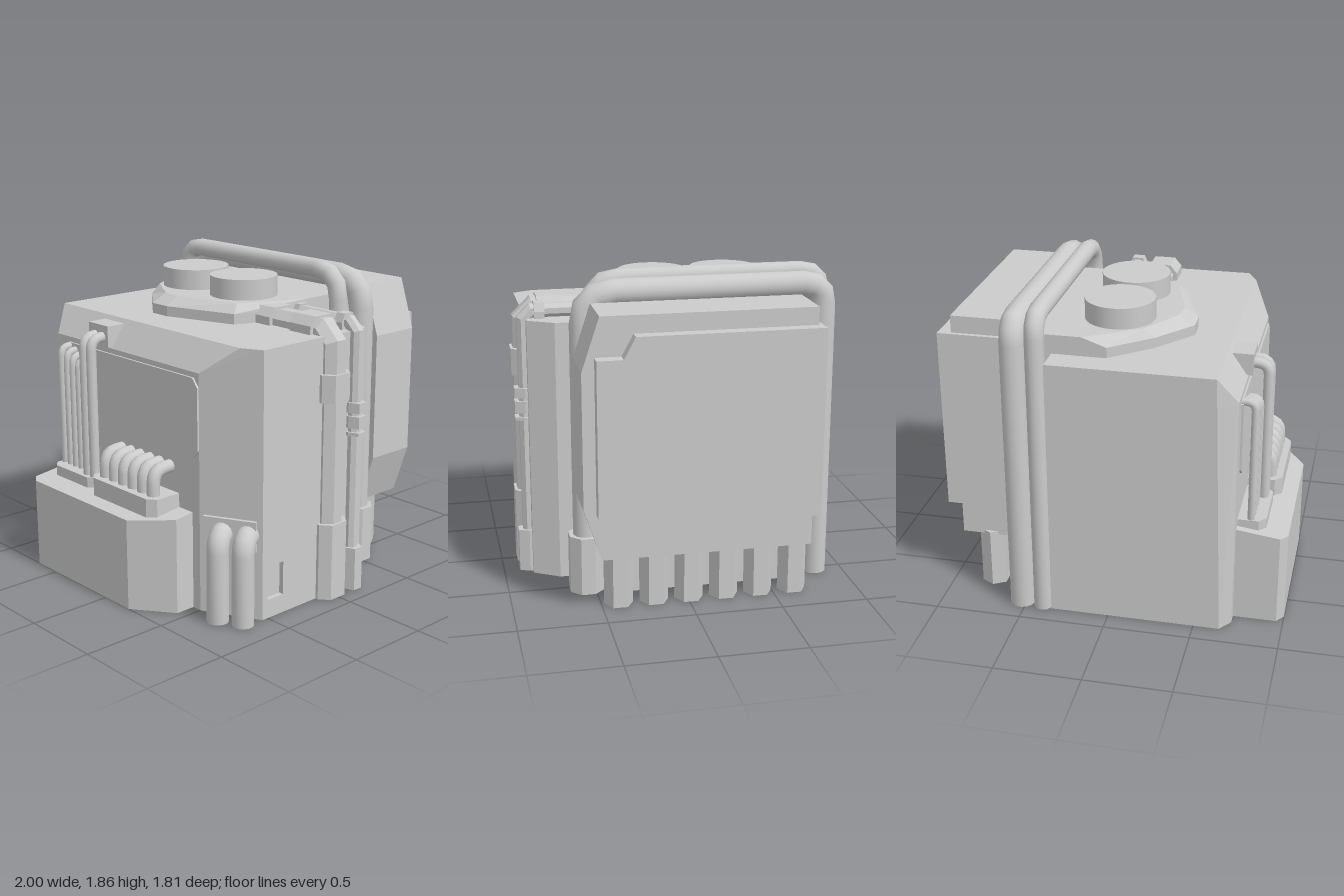
import * as THREE from 'three';

const smooth = new THREE.MeshStandardMaterial({ color: 0xcccccc, side: THREE.DoubleSide });
const flat = new THREE.MeshStandardMaterial({ color: 0xcccccc, flatShading: true });
const thin = new THREE.MeshStandardMaterial({ color: 0xcccccc, flatShading: true, side: THREE.DoubleSide });

export function createModel() {
  const root = new THREE.Group();
  const add = (name, geo, mat = flat) => {
    const m = new THREE.Mesh(geo, mat);
    m.name = name;
    root.add(m);
    return m;
  };
  const shapeOf = (pts) => new THREE.Shape(pts.map(([a, b]) => new THREE.Vector2(a, b)));
  const extrude = (shape, depth) => new THREE.ExtrudeGeometry(shape, { depth, bevelEnabled: false });
  // outlines seen from above are lists of [x, z]
  const planShape = (pts) => shapeOf(pts.map(([x, z]) => [x, -z]));
  const ring = (pts, y) => pts.map(([x, z]) => [x, y, z]);
  const prism = (name, pts, y0, y1) =>
    add(name, extrude(planShape(pts), y1 - y0).rotateX(-Math.PI / 2).translate(0, y0, 0));
  const cap = (name, pts, y) =>
    add(name, new THREE.ShapeGeometry(planShape(pts)).rotateX(-Math.PI / 2).translate(0, y, 0), thin);
  // plate from a [z, y] outline, between two x values
  const sidePlate = (name, pts, x0, x1) =>
    add(name, extrude(shapeOf(pts), x1 - x0).rotateY(-Math.PI / 2).translate(x1, 0, 0));
  // thin walls joining stacked rings of points
  const shell = (name, rings) => {
    const pos = [];
    for (let i = 0; i < rings.length - 1; i++) {
      for (let k = 0; k < rings[i].length - 1; k++) {
        const [a, b, c, d] = [rings[i][k], rings[i][k + 1], rings[i + 1][k + 1], rings[i + 1][k]];
        pos.push(...a, ...b, ...c, ...a, ...c, ...d);
      }
    }
    const g = new THREE.BufferGeometry();
    g.setAttribute('position', new THREE.Float32BufferAttribute(pos, 3));
    g.computeVertexNormals();
    return add(name, g, thin);
  };

  // open-ended pipe swept along a planar path; one bend size per corner
  const pipe = (name, path, r, bends, sides = 16, steps = 4, mat = smooth) => {
    const v = path.map((p) => new THREE.Vector3(...p));
    const pts = [v[0]];
    for (let i = 1; i < v.length - 1; i++) {
      const toward = (o) => v[i].clone().add(o.clone().sub(v[i]).setLength(bends[i - 1]));
      pts.push(...new THREE.QuadraticBezierCurve3(toward(v[i - 1]), v[i], toward(v[i + 1])).getPoints(steps));
    }
    pts.push(v[v.length - 1]);
    const n = pts.length, pos = [], idx = [];
    const dir = (i) => pts[i + 1].clone().sub(pts[i]).normalize();
    const B = v[1].clone().sub(v[0]).cross(v[2].clone().sub(v[1])).normalize();
    for (let i = 0; i < n; i++) {
      const a = dir(Math.max(i - 1, 0)), b = dir(Math.min(i, n - 2));
      const T = a.clone().add(b).normalize();
      const N = B.clone().cross(T).divideScalar(T.dot(a));
      for (let k = 0; k < sides; k++) {
        const t = ((k + 0.5) / sides) * Math.PI * 2;
        pos.push(...pts[i].clone().addScaledVector(N, r * Math.cos(t)).addScaledVector(B, r * Math.sin(t)).toArray());
      }
    }
    for (let i = 0; i < n - 1; i++) {
      for (let k = 0; k < sides; k++) {
        const a = i * sides + k, b = i * sides + ((k + 1) % sides);
        idx.push(a, b, a + sides, b, b + sides, a + sides);
      }
    }
    const g = new THREE.BufferGeometry();
    g.setAttribute('position', new THREE.Float32BufferAttribute(pos, 3));
    g.setIndex(idx);
    g.computeVertexNormals();
    return add(name, g, mat);
  };

  // main housing: open-bottomed walls, upper left edge sloping inward
  const housing = (back, left, front) => [
    [0.34, -0.72], [0.34, -0.88], back, left, front, [-0.555, 0.8], [0.268, 0.8], [0.34, 0.68], [0.34, 0.41],
  ];
  const housingTop = housing([-0.6, -0.88], [-0.6, -0.879], [-0.6, 0.71]);
  shell('housing', [
    ring(housing([-0.65, -0.88], [-0.71, -0.8], [-0.71, 0.5]), 0),
    ring(housing([-0.605, -0.88], [-0.71, -0.8], [-0.71, 0.5]), 1.39),
    ring(housingTop, 1.55),
  ]);

  // faceted core rising through the housing, also open below
  const coreEdge = [[0.18, 0.41], [-0.24, 0.27], [-0.38, -0.16], [-0.38, -0.29], [-0.2, -0.52], [0.03, -0.72]];
  const core = [[0.62, 0.41], [0.62, -0.72], ...[...coreEdge].reverse(), [0.62, 0.41]];
  const lid = [[0.62, 0.41], [0.62, -0.72], [0.17, -0.72], [-0.13, -0.53], [-0.28, -0.29], [-0.3, -0.16], [-0.19, 0.24], [0.2, 0.41], [0.62, 0.41]];
  shell('core', [ring(core, 0), ring(core, 1.61), ring(lid, 1.66)]);
  cap('coreLid', lid.slice(0, -1), 1.66);
  cap('housingRoof', [...housingTop, ...coreEdge], 1.55);
  for (const z of [-0.37, 0.06]) {
    add('roofCap', new THREE.CylinderGeometry(0.2, 0.2, 0.13, 32), smooth).position.set(0.03, 1.715, z);
  }

  // front wall with a small recess, mitred into the corner faces
  const wall = shapeOf([[-0.54, 0], [0.25, 0], [0.25, 1.55], [-0.54, 1.55]]);
  wall.holes.push(new THREE.Path([[-0.5, 0.11], [-0.5, 0.31], [-0.38, 0.31], [-0.38, 0.11]].map((p) => new THREE.Vector2(...p))));
  const wallGeo = extrude(wall, 0.03).translate(0, 0, 0.8);
  const wp = wallGeo.attributes.position;
  for (let i = 0; i < wp.count; i++) {
    if (wp.getZ(i) > 0.81) continue;
    if (wp.getX(i) < -0.53) wp.setX(i, -0.555);
    if (wp.getX(i) > 0.24) wp.setX(i, 0.268);
  }
  wallGeo.computeVertexNormals();
  add('frontWall', wallGeo);

  // large pipes looping over the roof
  pipe('innerLoopPipe', [[0.395, 0, 0.485], [0.395, 1.805, 0.485], [0.395, 1.805, -0.85], [0.395, 0, -0.85]], 0.055, [0.17, 0.12], 16, 3);
  pipe('outerLoopPipe', [[0.525, 0, 0.55], [0.525, 1.755, 0.55], [0.525, 1.755, -0.83], [0.525, 0, -0.83]], 0.073, [0.18, 0.12], 16, 3);
  const socket = (x, z, r, h) =>
    add('pipeSocket', new THREE.CylinderGeometry(r, r, h, 8).rotateY(Math.PI / 8)).position.set(x, h / 2, z);
  socket(0.395, 0.485, 0.064, 0.22);
  socket(0.525, 0.55, 0.105, 0.345);

  // side tank with its outer panel and row of posts
  sidePlate('tank', [[-0.68, 0.34], [0.515, 0.34], [0.615, 0.64], [0.615, 1.41], [0.515, 1.71], [-0.68, 1.71]], 0.6, 0.925);
  sidePlate('tankPanel', [[-0.705, 0.54], [0.3, 0.54], [0.335, 0.61], [0.545, 0.61], [0.545, 1.49], [0.4, 1.49], [0.335, 1.61], [-0.705, 1.61]], 0.62, 1);
  for (let i = 0; i < 6; i++) {
    add('tankPost', new THREE.CylinderGeometry(0.084, 0.084, 0.36, 6)).position.set(0.755, 0.18, 0.4 - 0.204 * i);
  }

  // front ducts bending over the roof into the core
  pipe('wideDuct', [[-0.008, 0, 0.81], [-0.008, 1.555, 0.81], [-0.008, 1.555, 0.3]], 0.088, [0.06], 8, 1, thin);
  pipe('narrowDuct', [[0.165, 0, 0.84], [0.165, 1.59, 0.84], [0.165, 1.59, 0.38]], 0.042, [0.05], 8, 1, thin);
  // clamps with their outer corners cut
  const clamp = (x, w, y0, y1, z) =>
    prism('ductClamp', [[x - w, 0.8], [x + w, 0.8], [x + w, z - 0.06], [x + w * 0.55, z], [x - w * 0.55, z], [x - w, z - 0.06]], y0, y1);
  clamp(-0.008, 0.105, 0, 0.46, 0.907);
  clamp(-0.008, 0.105, 1.18, 1.34, 0.907);
  clamp(0.165, 0.055, 0, 0.26, 0.905);
  for (const [a, b] of [[1.08, 1.14], [0.99, 1.06], [0.945, 0.965]]) clamp(0.165, 0.053, a, b, 0.905);
  const roofClamp = (x, w, z0, z1, top) =>
    add('roofClamp', extrude(shapeOf([[x - w, 1.54], [x + w, 1.54], [x + w, top - 0.05], [x + w * 0.6, top], [x - w * 0.6, top], [x - w, top - 0.05]]), z1 - z0).translate(0, 0, z0));
  roofClamp(-0.008, 0.105, 0.59, 0.75, 1.648);
  roofClamp(-0.008, 0.105, 0.3, 0.43, 1.648);
  roofClamp(0.165, 0.055, 0.72, 0.78, 1.64);
  roofClamp(0.165, 0.055, 0.38, 0.43, 1.64);

  // left cabinet: open below, with a gently sloping top
  const cabinet = [[-0.7, -0.735], [-0.96, -0.735], [-1, -0.68], [-1, 0.21], [-0.83, 0.44], [-0.7, 0.44]];
  shell('cabinet', [
    ring(cabinet, 0),
    cabinet.map(([x, z]) => [x, 0.54 + (x + 1) * 0.13, z]),
    cabinet.map(() => [-0.7, 0.579, -0.15]),
  ]);
  sidePlate('leftPanel', [[-0.69, 0.93], [-0.66, 0.9], [0.46, 0.9], [0.5, 0.95], [0.5, 1.31], [0.46, 1.36], [-0.66, 1.36], [-0.69, 1.33]], -0.722, -0.7);

  // manifolds with rows of bent pipes
  const manifold = (x, z0, z1, top) =>
    prism('manifold', [[x, z0 + 0.05], [x, z1 - 0.05], [x + 0.04, z1], [-0.71, z1], [-0.71, z0], [x + 0.04, z0]], 0.53, top);
  manifold(-0.91, -0.26, 0.325, 0.66);
  manifold(-0.87, -0.69, -0.28, 0.62);
  for (let i = 0; i < 6; i++) {
    const z = -0.185 + 0.087 * i;
    pipe('shortPipe', [[-0.835, 0.6, z], [-0.835, 0.805, z], [-0.7, 0.805, z]], 0.038, [0.08], 12);
  }
  for (let i = 0; i < 5; i++) {
    const z = -0.665 + 0.056 * i, y = 1.34 - 0.018 * i;
    pipe('thinPipe', [[-0.785, 0.58, z], [-0.785, y, z], [-0.7, y, z]], 0.022, [0.05], 10);
  }
  for (const z of [-0.385, -0.318]) {
    pipe('tallPipe', [[-0.82, 0.58, z], [-0.82, 1.455, z], [-0.7, 1.455, z]], 0.03, [0.07], 12);
  }
  add('tallPipeInlet', new THREE.BoxGeometry(0.122, 0.125, 0.18)).position.set(-0.676, 1.4625, -0.355);

  // pair of pipes on the angled front corner
  for (const [x, z] of [[-0.725, 0.665], [-0.655, 0.795]]) {
    pipe('cornerPipe', [[x, 0, z], [x, 0.5, z], [x + 0.12, 0.5, z - 0.062]], 0.063, [0.09]);
  }
  const flange = add('cornerFlange', new THREE.BoxGeometry(0.03, 0.18, 0.31));
  flange.position.set(-0.632, 0.495, 0.665);
  flange.rotation.y = Math.atan2(0.17, 0.33);

  return root;
}
